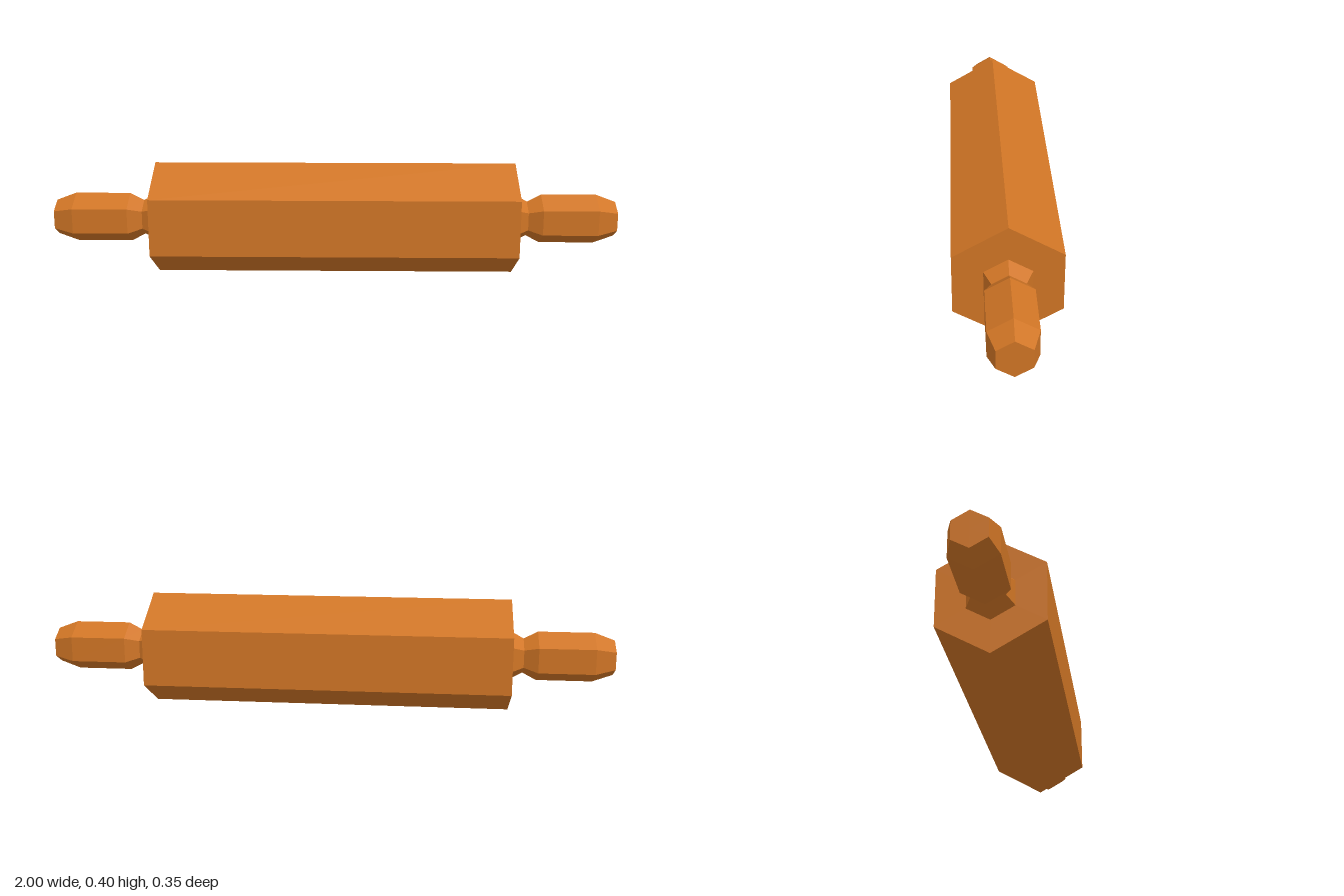
import * as THREE from 'three';

const AXIS_HEIGHT = 0.2;

// Six-sided turned solid along x, with a corner pointing up; profile is [x, radius] pairs
function hexSolid(profile) {
  const points = profile.map(([x, r]) => new THREE.Vector2(r, x));
  return new THREE.LatheGeometry(points, 6, Math.PI / 2).rotateZ(-Math.PI / 2);
}

export function createModel() {
  const model = new THREE.Group();
  model.name = 'hexRod';
  const copper = new THREE.MeshStandardMaterial({ color: 0xd07525 });
  copper.name = 'copper orange';
  // Facet normals come from the unshared faces, for crisp low-poly edges
  copper.flatShading = true;

  const addPart = (name, geometry) => {
    const mesh = new THREE.Mesh(geometry, copper);
    mesh.name = name;
    mesh.position.y = AXIS_HEIGHT;
    model.add(mesh);
    return mesh;
  };

  // Long hexagonal body with flat ends
  addPart('body', hexSolid([[-0.64, 0], [-0.64, 0.2], [0.64, 0.2], [0.64, 0]]));

  // Pin with a waisted neck and a chamfered tip, one at each end
  const pin = hexSolid([
    [0.64, 0.088], [0.686, 0.062], [0.735, 0.088], [0.93, 0.088], [1, 0.062], [1, 0],
  ]);
  addPart('leftPin', pin);
  addPart('rightPin', pin).rotation.y = Math.PI;

  return model;
}
